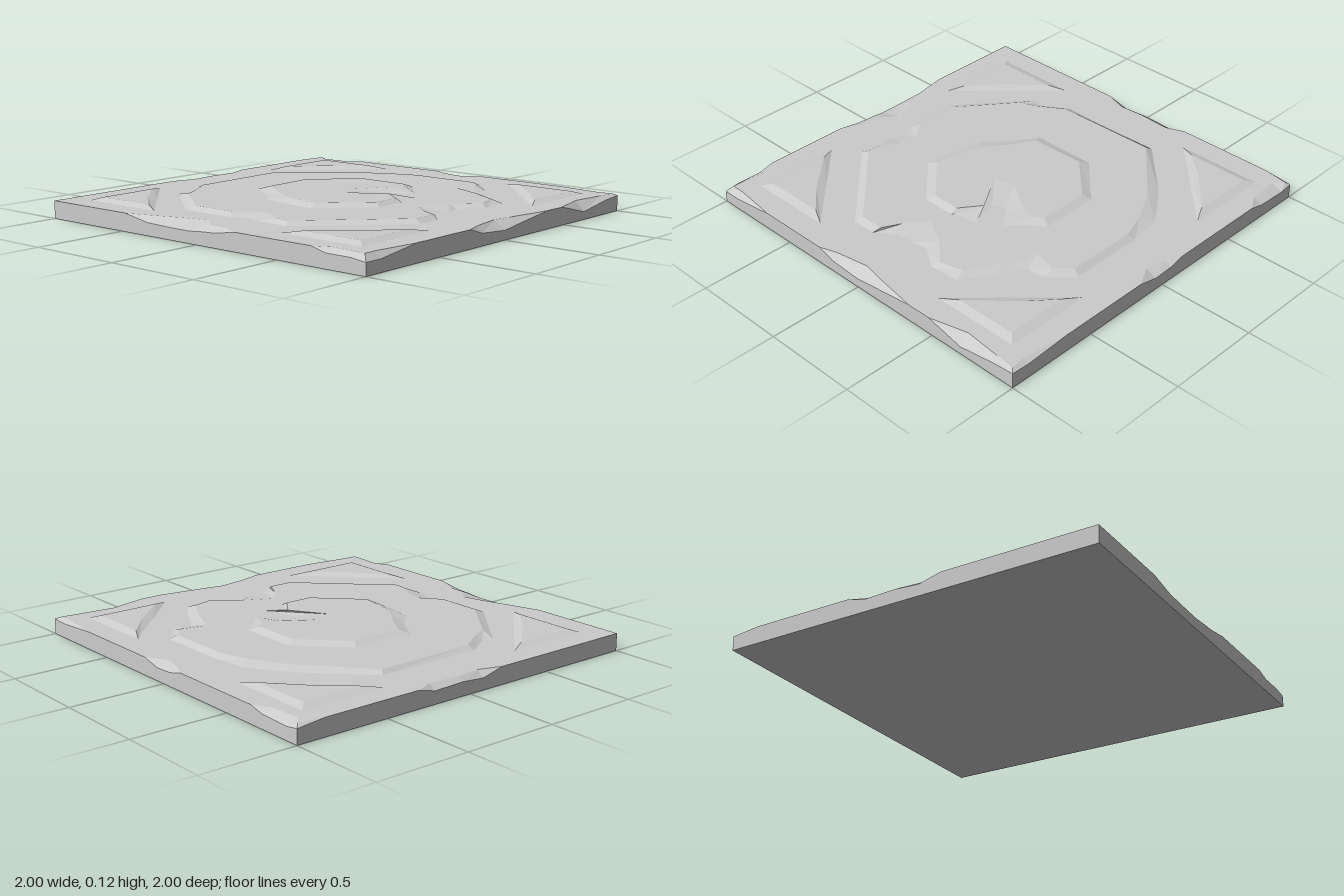
import * as THREE from 'three';

const material = new THREE.MeshStandardMaterial({ color: 0xcccccc, flatShading: true });

// Joins matching rings of [x, y, z] points with walls and caps both ends.
// Rings run counterclockwise as seen from above, lowest ring first.
function loft(name, rings) {
  const positions = [];
  const a = new THREE.Vector3(), b = new THREE.Vector3();
  const tri = (p, q, r) => {
    a.set(q[0] - p[0], q[1] - p[1], q[2] - p[2]);
    b.set(r[0] - p[0], r[1] - p[1], r[2] - p[2]);
    if (a.cross(b).length() > 1e-8) positions.push(...p, ...q, ...r);
  };
  for (let k = 0; k + 1 < rings.length; k++) {
    const low = rings[k], high = rings[k + 1];
    for (let i = 0; i < low.length; i++) {
      const j = (i + 1) % low.length;
      tri(low[i], low[j], high[j]);
      tri(low[i], high[j], high[i]);
    }
  }
  const cap = (ring, flip) => {
    const flat = ring.map(([x, , z]) => new THREE.Vector2(x, -z));
    for (const [i, j, k] of THREE.ShapeUtils.triangulateShape(flat, [])) {
      if (flip) tri(ring[i], ring[k], ring[j]);
      else tri(ring[i], ring[j], ring[k]);
    }
  };
  cap(rings[0], true);
  cap(rings[rings.length - 1], false);

  const geometry = new THREE.BufferGeometry();
  geometry.setAttribute('position', new THREE.Float32BufferAttribute(positions, 3));
  geometry.computeVertexNormals();
  const mesh = new THREE.Mesh(geometry, material);
  mesh.name = name;
  return mesh;
}

// Raised layer from rows of [foot x, foot z, top x, top z]
function tier(name, y0, y1, rows) {
  return loft(name, [
    rows.map(([x, z]) => [x, y0, z]),
    rows.map(([, , x, z]) => [x, y1, z]),
  ]);
}

// Square slab; each edge lists its chips as [position along edge, drop, inset]
function slab() {
  const edges = [
    // front
    [[-1, 0, 0], [-0.48, 0, 0], [-0.32, 0.027, 0.05], [-0.2, 0.03, 0.09], [-0.05, 0.032, 0.13],
      [0.03, 0.025, 0.06], [0.12, 0.02, 0.06], [0.25, 0, 0], [0.7, 0, 0], [0.78, 0.02, 0.04], [0.92, 0.02, 0.03]],
    // right
    [[-1, 0.03, 0.03], [-0.9, 0.03, 0.03], [-0.66, 0, 0], [-0.27, 0, 0], [-0.18, 0.03, 0.03],
      [0, 0.043, 0.06], [0.1, 0.03, 0.04], [0.35, 0, 0], [0.48, 0, 0], [0.68, 0.05, 0.05], [0.88, 0.02, 0.03]],
    // back
    [[-1, 0.01, 0.02], [-0.9, 0.015, 0.03], [-0.66, 0, 0], [-0.16, 0, 0], [-0.05, 0.025, 0.06],
      [0.06, 0.02, 0.04], [0.14, 0, 0], [0.68, 0, 0], [0.76, 0.02, 0.05], [0.93, 0.025, 0.06]],
    // left
    [[-1, 0.015, 0.02], [-0.85, 0, 0], [-0.32, 0, 0], [-0.22, 0.025, 0.04], [-0.05, 0.02, 0.03],
      [0.08, 0.03, 0.04], [0.2, 0, 0]],
  ];
  const foot = [], rim = [], top = [];
  edges.forEach((chips, side) => {
    const place = (x, y, z) => {
      for (let k = 0; k < side; k++) [x, z] = [z, -x];
      return [x, y, z];
    };
    for (const [t, drop, inset] of chips) {
      foot.push(place(t, 0, 1));
      rim.push(place(t, 0.09 - drop, 1));
      top.push(place(t === -1 ? t + inset : t, 0.09, 1 - inset));
    }
  });
  return loft('slab', [foot, rim, top]);
}

export function createModel() {
  const model = new THREE.Group();
  model.name = 'stoneFloorTile';
  model.add(slab());

  // Large octagon with broken bites in its rim
  model.add(tier('outerOctagon', 0.088, 0.108, [
    [-0.32, 0.76, -0.30, 0.71], [-0.02, 0.75, -0.06, 0.71], [0.05, 0.72, 0.04, 0.63],
    [0.13, 0.75, 0.13, 0.64], [0.21, 0.74, 0.22, 0.70], [0.32, 0.75, 0.30, 0.71],
    [0.75, 0.31, 0.71, 0.29], [0.75, 0.18, 0.71, 0.16], [0.70, 0.10, 0.61, 0.11],
    [0.68, 0.00, 0.51, 0.03], [0.66, -0.10, 0.59, -0.12], [0.74, -0.22, 0.70, -0.24],
    [0.73, -0.38, 0.67, -0.36], [0.57, -0.48, 0.51, -0.45], [0.45, -0.55, 0.34, -0.52],
    [0.44, -0.64, 0.37, -0.65], [0.32, -0.76, 0.30, -0.72], [-0.08, -0.76, -0.07, -0.72],
    [-0.26, -0.74, -0.22, -0.67], [-0.46, -0.60, -0.40, -0.57], [-0.75, -0.31, -0.72, -0.29],
    [-0.75, 0.27, -0.71, 0.26], [-0.67, 0.40, -0.62, 0.40], [-0.69, 0.46, -0.58, 0.49],
  ]));

  // Small octagon with one deep break and two shallow ones
  model.add(tier('innerOctagon', 0.106, 0.125, [
    [-0.17, 0.37, -0.11, 0.30], [-0.03, 0.39, -0.02, 0.33], [0.17, 0.41, 0.15, 0.36],
    [0.40, 0.18, 0.36, 0.15], [0.40, 0.00, 0.36, 0.00], [0.38, -0.15, 0.25, -0.08],
    [0.22, -0.10, 0.06, 0.04], [0.20, -0.17, 0.02, -0.06], [0.30, -0.24, 0.13, -0.23],
    [0.22, -0.32, 0.16, -0.31], [0.15, -0.41, 0.12, -0.36], [-0.17, -0.41, -0.15, -0.36],
    [-0.41, -0.18, -0.36, -0.15], [-0.41, 0.17, -0.35, 0.14], [-0.27, 0.26, -0.23, 0.21],
  ]));

  // Raised triangle in each corner, turned a quarter at a time
  for (let k = 0; k < 4; k++) {
    const corner = tier('cornerTriangle', 0.088, 0.105, [
      [0.40, 0.88, 0.50, 0.83], [0.88, 0.88, 0.83, 0.83], [0.88, 0.40, 0.83, 0.50],
      [0.66, 0.62, 0.70, 0.65],
    ]);
    corner.rotation.y = (k * Math.PI) / 2;
    model.add(corner);
  }
  return model;
}
